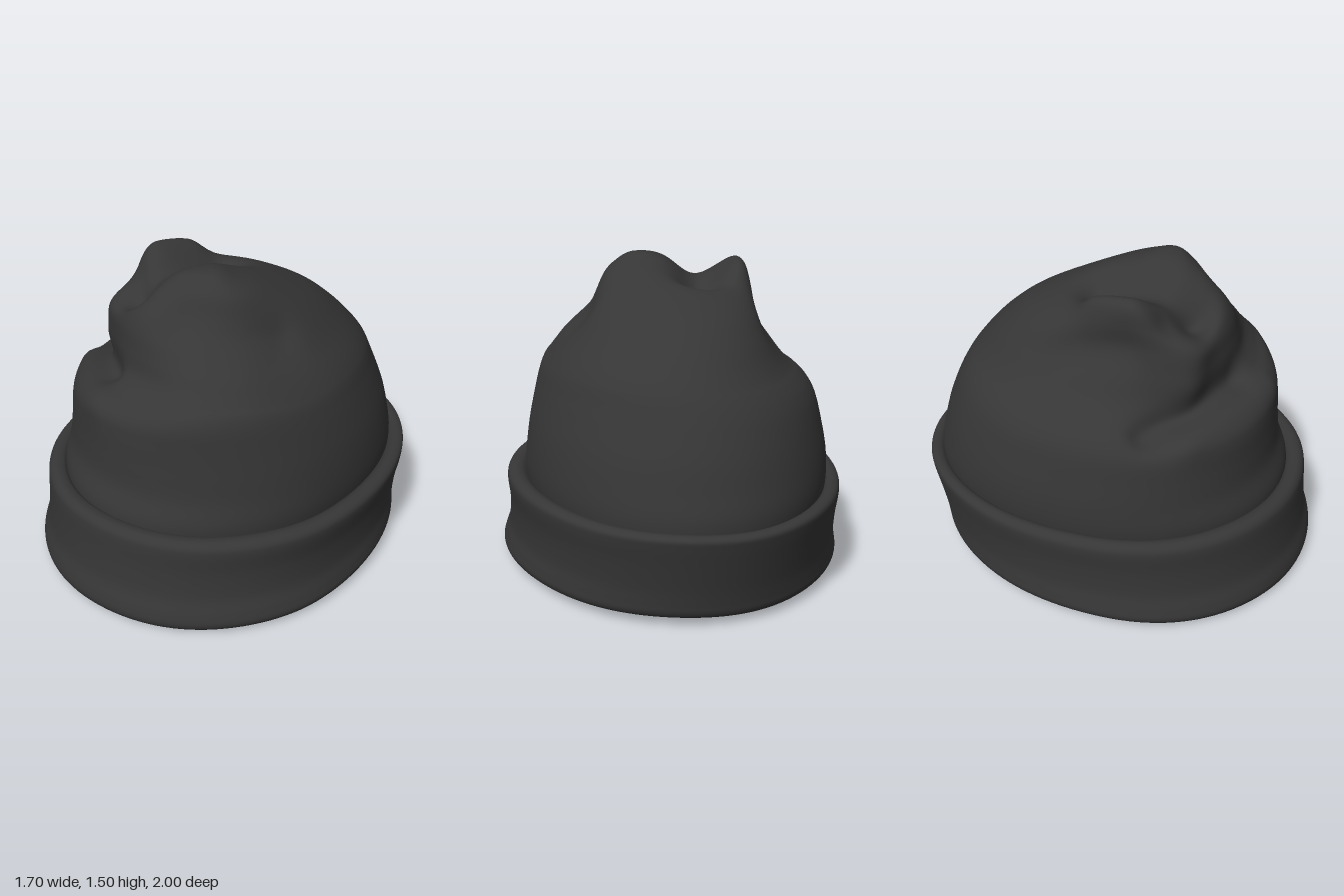
import * as THREE from 'three';

const knit = new THREE.MeshStandardMaterial({ color: 0x363636 });
knit.name = 'charcoal knit';

// Smoothly samples rows of [yFront, yBack, xMin, xMax, zBack, zFront]
function sampler(rows) {
  const n = rows[0].length;
  const spline = new THREE.CubicInterpolant(
    rows.map((_, i) => i), rows.flat(), n, new Float32Array(n));
  return (t) => spline.evaluate(t * (rows.length - 1));
}

// Skins egg-shaped rings, bent by a rule; flip turns the skin inside out
function skin(name, rows, steps, bend, flip = false) {
  const seg = 128, sample = sampler(rows), pos = [], idx = [], p = new THREE.Vector3();
  for (let i = 0; i <= steps; i++) {
    const [yf, yb, x0, x1, z0, z1] = Array.from(sample(i / steps));
    const zm = THREE.MathUtils.lerp(z0, z1, 0.55);
    for (let j = 0; j < seg; j++) {
      const a = (j / seg) * Math.PI * 2, s = Math.sin(a), c = Math.cos(a);
      p.set((x0 + x1) / 2 + (x1 - x0) / 2 * s,
        THREE.MathUtils.lerp(yb, yf, (c + 1) / 2),
        zm + (c > 0 ? z1 - zm : zm - z0) * c);
      bend(p, a);
      pos.push(p.x, p.y, p.z);
      if (i < steps) {
        const k = (j + 1) % seg, A = i * seg + j, B = i * seg + k, C = B + seg, D = A + seg;
        if (flip) idx.push(A, C, B, A, D, C);
        else idx.push(A, B, C, A, C, D);
      }
    }
  }
  const g = new THREE.BufferGeometry();
  g.setAttribute('position', new THREE.Float32BufferAttribute(pos, 3));
  g.setIndex(idx);
  g.computeVertexNormals();
  const mesh = new THREE.Mesh(g, knit);
  mesh.name = name;
  return mesh;
}

// Folds: start, end, radius, push
const v = (x, y, z) => new THREE.Vector3(x, y, z);
const folds = [
  [v(-0.19, 1.42, 0.4), v(-0.13, 1.44, -0.04), 0.125, v(0.01, -0.125, -0.01)], // top notch
  [v(-0.35, 1.39, 0.14), v(-0.33, 1.39, -0.02), 0.09, v(-0.01, 0.06, 0)],      // small peak
  [v(-0.34, 1.4, 0.34), v(-0.26, 1.4, 0.42), 0.1, v(0.03, -0.03, -0.04)],      // slope before it
  [v(-0.5, 1.2, -0.28), v(-0.46, 1.25, 0.1), 0.11, v(0.045, 0, 0)],            // side crease
  [v(-0.38, 1.13, 0.4), v(-0.34, 1.24, 0.4), 0.12, v(-0.035, 0, 0.045)],       // left front corner
  [v(0.22, 1.36, 0.44), v(0.42, 1.25, 0.1), 0.13, v(-0.025, -0.025, -0.035)],  // right hollow
  [v(0.32, 1.04, 0.48), v(0.44, 1.08, 0.3), 0.16, v(0.02, 0, 0.035)],          // right fullness
  [v(-0.6, 0.98, 0.28), v(-0.15, 1.0, 0.58), 0.07, v(0.025, -0.035, -0.04)],   // front crease
  [v(-0.52, 0.9, 0.45), v(-0.05, 0.91, 0.72), 0.08, v(-0.012, 0.025, 0.01)],   // front roll
].map(([a, b, r, push]) => ({ line: new THREE.Line3(a, b), r, push }));

function foldCloth(p) {
  // The front shelf climbs toward +x
  const shelf = Math.exp(-(((p.y - 1) / 0.16) ** 2)) * THREE.MathUtils.smoothstep(p.z, 0, 0.5);
  const near = new THREE.Vector3(), move = v(0, 0.1 * p.x * shelf, 0);
  for (const { line, r, push } of folds) {
    line.closestPointToPoint(p, true, near);
    move.addScaledVector(push, Math.exp(-near.distanceToSquared(p) / (r * r)));
  }
  p.add(move);
}

export function createModel() {
  const hat = new THREE.Group();
  hat.name = 'knitHat';

  // Crown, from under the cuff up to the closed top
  const crown = [
    [0.36, -0.74, 0.72, -0.93, 0.85],
    [0.48, -0.755, 0.73, -0.93, 0.845],
    [0.60, -0.75, 0.72, -0.90, 0.80],
    [0.72, -0.73, 0.70, -0.865, 0.785],
    [0.84, -0.705, 0.67, -0.815, 0.775],
    [0.91, -0.67, 0.648, -0.78, 0.76],
    [0.96, -0.62, 0.628, -0.75, 0.715],
    [1.00, -0.565, 0.603, -0.72, 0.645],
    [1.06, -0.515, 0.56, -0.67, 0.585],
    [1.15, -0.475, 0.49, -0.585, 0.562],
    [1.25, -0.445, 0.425, -0.46, 0.54],
    [1.34, -0.425, 0.37, -0.285, 0.495],
    [1.42, -0.38, 0.305, -0.10, 0.415],
    [1.47, -0.25, 0.23, 0.05, 0.335],
    [1.495, 0.0, 0.175, 0.14, 0.27],
    [1.503, 0.13, 0.13, 0.2, 0.2],
  ].map(([y, ...r]) => [y, y, ...r]);
  hat.add(skin('crown', crown, 110, foldCloth));

  // Lining, just inside the crown
  hat.add(skin('lining', crown, 60, (p) => {
    foldCloth(p);
    p.set(p.x * 0.965, p.y - 0.03, p.z * 0.965);
  }, true));

  // Turned-up cuff: inner wall, rolled hem, flared outer wall, rolled top edge
  const cuff = [
    [0.36, 0.36, -0.716, 0.697, -0.9, 0.822],
    [0.22, 0.23, -0.725, 0.712, -0.88, 0.85],
    [0.10, 0.12, -0.735, 0.73, -0.86, 0.89],
    [0.025, 0.06, -0.76, 0.76, -0.86, 0.925],
    [0.003, 0.04, -0.80, 0.80, -0.885, 0.96],
    [0.015, 0.045, -0.835, 0.835, -0.91, 0.985],
    [0.05, 0.07, -0.85, 0.85, -0.925, 0.998],
    [0.10, 0.11, -0.842, 0.84, -0.932, 0.99],
    [0.18, 0.18, -0.825, 0.818, -0.945, 0.965],
    [0.30, 0.29, -0.822, 0.812, -0.97, 0.95],
    [0.41, 0.39, -0.83, 0.822, -0.993, 0.942],
    [0.45, 0.43, -0.822, 0.815, -0.998, 0.932],
    [0.47, 0.446, -0.795, 0.785, -0.975, 0.905],
    [0.465, 0.442, -0.765, 0.75, -0.945, 0.865],
    [0.44, 0.42, -0.74, 0.72, -0.92, 0.84],
  ];
  hat.add(skin('cuff', cuff, 84, (p, a) => {
    p.y += 0.004 * Math.sin(3 * a + 0.6) + 0.002 * Math.sin(7 * a);
  }));
  return hat;
}
